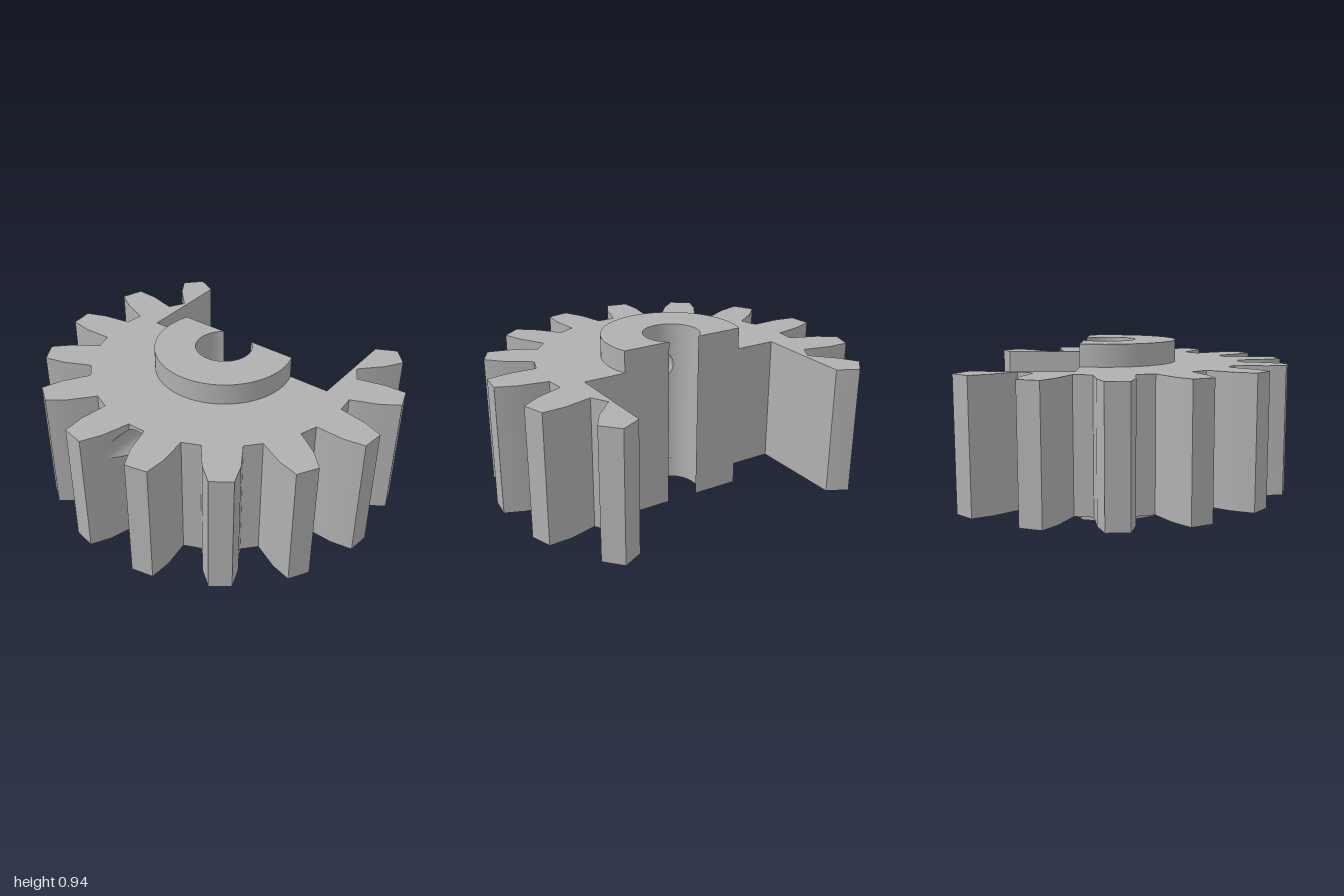
import * as THREE from 'three';
import { mergeGeometries, toCreasedNormals } from 'three/addons/utils/BufferGeometryUtils.js';

// Axis and sizes; all outlines are relative to the gear axis
const AXIS_X = 0.135, HEIGHT = 0.945, GEAR_LOW = 0.12, GEAR_HIGH = 0.825;
const HUB_R = 0.38, BORE_R = 0.155, CUT_X = 0.125, CUT_Z = 0.59;
const HOLE_R = 0.094, HOLE_Y = 0.71, STRIP = 0.1;
const PITCH = 24;
// Half tooth as [radius, half angle in degrees], from root to tip
const FLANK = [[0.735, 8.1], [0.889, 6], [1, 3.5]];

// Polar point, with the angle measured in degrees from -x
function polar(r, deg) {
  const a = THREE.MathUtils.degToRad(deg);
  return [-r * Math.cos(a), r * Math.sin(a)];
}

function arc(r, from, to, steps) {
  return Array.from({ length: steps + 1 }, (_, i) => polar(r, from + (to - from) * i / steps));
}

// Upright prism from an outline of [x, z] points
function prism(points, y0, y1) {
  const shape = new THREE.Shape(points.map(([x, z]) => new THREE.Vector2(x, -z)));
  const g = new THREE.ExtrudeGeometry(shape, { depth: y1 - y0, bevelEnabled: false });
  g.rotateX(-Math.PI / 2).translate(0, y0, 0);
  g.deleteAttribute('uv');
  g.deleteAttribute('normal');
  return g;
}

// Outer wall of the tooth gap that the screw hole passes through
const gapWall = FLANK.map(([r, half]) => polar(r, PITCH / 2 - half));
function outerX(z) {
  const d = Math.abs(z);
  if (d <= gapWall[0][1]) return gapWall[0][0];
  const i = d <= gapWall[1][1] ? 0 : 1;
  const [a, b] = [gapWall[i], gapWall[i + 1]];
  return a[0] + (b[0] - a[0]) * (d - a[1]) / (b[1] - a[1]);
}
const boreX = z => -Math.sqrt(BORE_R ** 2 - z * z);

// Toothed half on one side of the screw hole
function gearHalf(side) {
  const pts = [[outerX(STRIP), STRIP]];
  for (let k = 0; k < 6; k++) {
    const mid = PITCH * (k + 0.5);
    if (k > 0) FLANK.forEach(([r, half]) => pts.push(polar(r, mid - half)));
    else pts.push(polar(1, mid - 3.5));
    if (k < 5) [...FLANK].reverse().forEach(([r, half]) => pts.push(polar(r, mid + half)));
    else pts.push(polar(1, mid + 3.5), polar(0.889, mid + 6));
  }
  const cutAngle = 180 - THREE.MathUtils.radToDeg(Math.acos(CUT_X / BORE_R));
  const stripAngle = THREE.MathUtils.radToDeg(Math.asin(STRIP / BORE_R));
  pts.push([0.657, CUT_Z], [CUT_X, CUT_Z], ...arc(BORE_R, cutAngle, stripAngle, 24));
  return prism(pts.map(([x, z]) => [x, z * side]), GEAR_LOW, GEAR_HIGH);
}

// Narrow block between the halves, pierced by the round screw hole
function drilledStrip() {
  const zs = [-STRIP, STRIP];
  gapWall.slice(0, 2).forEach(p => zs.push(-p[1], p[1]));
  for (let i = 0; i <= 24; i++) zs.push(HOLE_R * Math.cos(Math.PI * i / 24));
  zs.sort((a, b) => a - b);
  const pos = [];
  const quad = (a, b, c, d) => pos.push(...a, ...b, ...c, ...a, ...c, ...d);
  const halfHeight = z => Math.sqrt(Math.max(0, HOLE_R ** 2 - z * z));
  for (let i = 0; i < zs.length - 1; i++) {
    const z0 = zs[i], z1 = zs[i + 1], h0 = halfHeight(z0), h1 = halfHeight(z1);
    // Corners of this slice at heights ya (z0) and yb (z1)
    const corners = (ya, yb) => [
      [outerX(z0), ya, z0], [outerX(z1), yb, z1], [boreX(z1), yb, z1], [boreX(z0), ya, z0]];
    const bottom = corners(GEAR_LOW, GEAR_LOW), top = corners(GEAR_HIGH, GEAR_HIGH);
    const holeLow = corners(HOLE_Y - h0, HOLE_Y - h1), holeHigh = corners(HOLE_Y + h0, HOLE_Y + h1);
    quad(...top);
    quad(...[...bottom].reverse());
    for (const [lo, hi] of [[bottom, holeLow], [holeHigh, top]]) {
      quad(lo[0], lo[1], hi[1], hi[0]);
      quad(lo[2], lo[3], hi[3], hi[2]);
    }
    if (h0 + h1 > 1e-6) {
      quad(...holeLow);
      quad(...[...holeHigh].reverse());
    }
  }
  const g = new THREE.BufferGeometry();
  g.setAttribute('position', new THREE.Float32BufferAttribute(pos, 3));
  return g;
}

// Hub ring, cut flat on the open side
function collar(y0, y1) {
  const outer = 180 - THREE.MathUtils.radToDeg(Math.acos(CUT_X / HUB_R));
  const inner = 180 - THREE.MathUtils.radToDeg(Math.acos(CUT_X / BORE_R));
  return prism([...arc(HUB_R, -outer, outer, 64), ...arc(BORE_R, inner, -inner, 56)], y0, y1);
}

export function createModel() {
  const group = new THREE.Group();
  const grey = new THREE.MeshStandardMaterial({ color: 0xb0b0b0 });
  grey.name = 'plain grey';
  const add = (name, geometry) => {
    const mesh = new THREE.Mesh(toCreasedNormals(geometry, 0.5), grey);
    mesh.name = name;
    mesh.position.x = AXIS_X;
    group.add(mesh);
  };
  add('gearBody', mergeGeometries([gearHalf(1), gearHalf(-1), drilledStrip()]));
  add('lowerHub', collar(0, GEAR_LOW));
  add('upperHub', collar(GEAR_HIGH, HEIGHT));
  return group;
}
